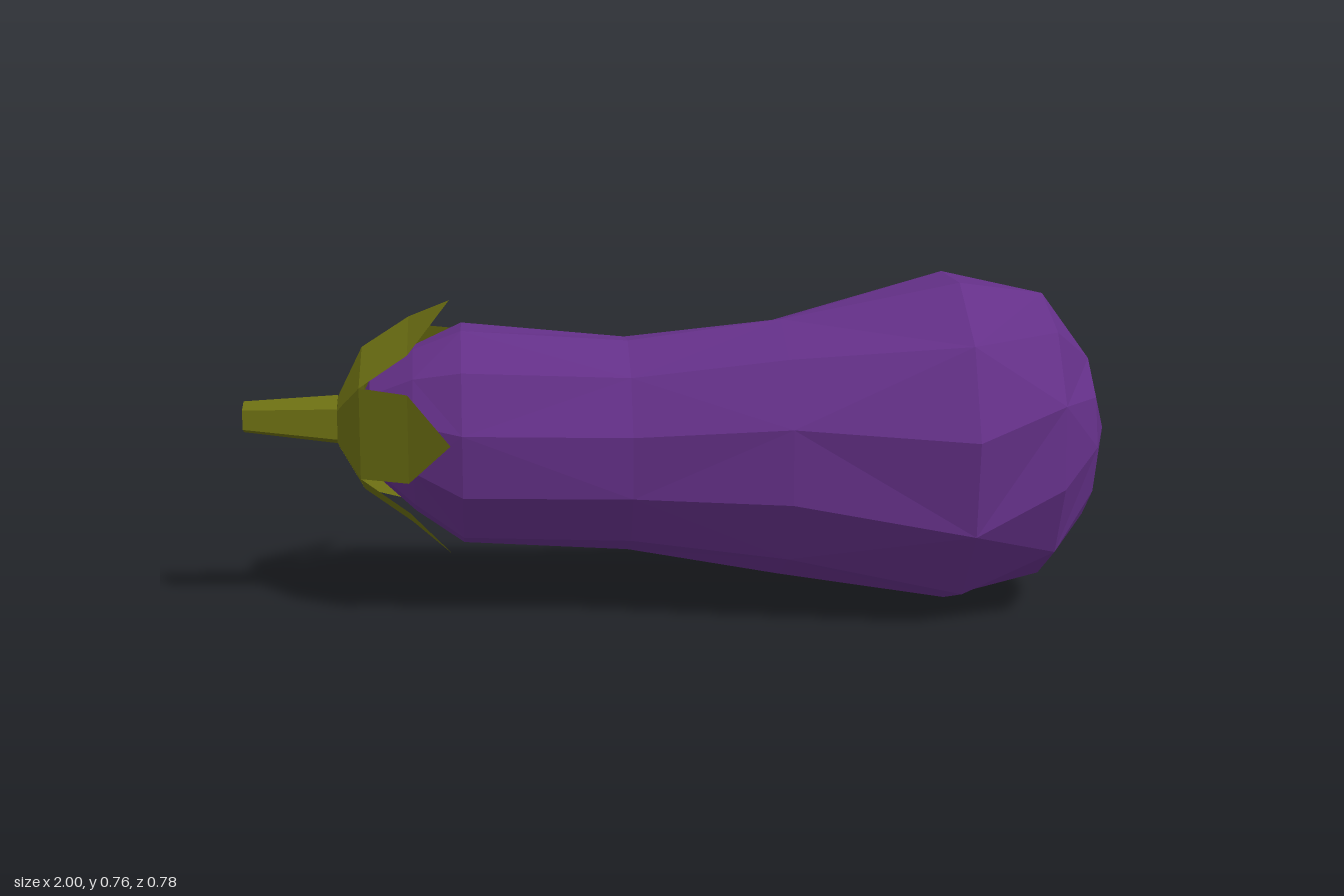
import * as THREE from 'three';

const SKIN = 0x643088, GREEN = 0x6b6e12;

// Joins rows of points (running along +x) into a faceted surface
function skinRows(rows, closed) {
  const pos = [];
  const tri = (a, b, c) => {
    if (a.distanceTo(b) > 1e-6 && b.distanceTo(c) > 1e-6 && a.distanceTo(c) > 1e-6) {
      for (const p of [a, b, c]) pos.push(p.x, p.y, p.z);
    }
  };
  for (let i = 0; i < rows.length - 1; i++) {
    const n = rows[i].length;
    for (let j = 0; j < (closed ? n : n - 1); j++) {
      const k = (j + 1) % n;
      const a = rows[i][j], b = rows[i + 1][j], c = rows[i + 1][k], d = rows[i][k];
      if ((i + j) % 2) { tri(a, b, d); tri(b, c, d); }
      else { tri(a, b, c); tri(a, c, d); }
    }
  }
  const g = new THREE.BufferGeometry();
  g.setAttribute('position', new THREE.Float32BufferAttribute(pos, 3));
  g.computeVertexNormals();
  return g;
}

// Ring of points around the x axis
function ring(x, cy, cz, ry, rz, sides, start) {
  return Array.from({ length: sides }, (_, j) => {
    const a = start + (j / sides) * Math.PI * 2;
    return new THREE.Vector3(x, cy + ry * Math.sin(a), cz + rz * Math.cos(a));
  });
}

function part(name, geometry, color) {
  const mesh = new THREE.Mesh(geometry, new THREE.MeshStandardMaterial({
    color, flatShading: true, side: THREE.DoubleSide,
  }));
  mesh.name = name;
  return mesh;
}

export function createModel() {
  const group = new THREE.Group();
  group.name = 'eggplant';

  // Fruit: x, centre y, centre z, radius y, radius z, twist
  const profile = [
    [-0.76, 0.435, -0.045, 0, 0, 0],
    [-0.71, 0.43, -0.045, 0.11, 0.11, 0.1],
    [-0.61, 0.42, -0.05, 0.195, 0.19, 0.05],
    [-0.5, 0.405, -0.05, 0.26, 0.245, 0],
    [-0.12, 0.382, -0.025, 0.252, 0.248, 0.08],
    [0.23, 0.378, 0.01, 0.302, 0.302, 0.15],
    [0.63, 0.39, 0, 0.39, 0.394, 0],
    [0.84, 0.397, 0, 0.332, 0.318, 0.2],
    [0.94, 0.4, -0.01, 0.203, 0.203, 0.4],
    [1, 0.405, 0, 0, 0, 0.4],
  ];
  const rows = profile.map(([x, cy, cz, ry, rz, twist]) =>
    ring(x, cy, cz, ry, rz, 11, -Math.PI / 2 + twist));
  group.add(part('fruit', skinRows(rows, true), SKIN));

  // Stem: five-sided, flared into the cap, closed at the cut end
  const corner = Math.PI / 5;
  group.add(part('stem', skinRows([
    ring(-1, 0.452, -0.033, 0, 0, 5, corner),
    ring(-1, 0.452, -0.033, 0.038, 0.04, 5, corner),
    ring(-0.785, 0.44, -0.043, 0.06, 0.062, 5, corner),
  ], true), GREEN));

  // Cap: five pointed leaves, each row is x, distance from axis, half width
  const leafRows = [
    [-0.785, 0.05, 0.037],
    [-0.73, 0.143, 0.104],
    [-0.62, 0.222, 0.1],
    [-0.525, 0.31, 0],
  ];
  const cap = new THREE.Group();
  cap.name = 'cap';
  for (let i = 0; i < 5; i++) {
    const leaf = part('leaf', skinRows(leafRows.map(([x, r, w]) =>
      [-w, 0, w].map((y) => new THREE.Vector3(x, y, r))), false), GREEN);
    leaf.rotation.x = -i * Math.PI * 2 / 5;
    cap.add(leaf);
  }
  cap.position.set(0, 0.435, -0.043);
  group.add(cap);

  return group;
}
